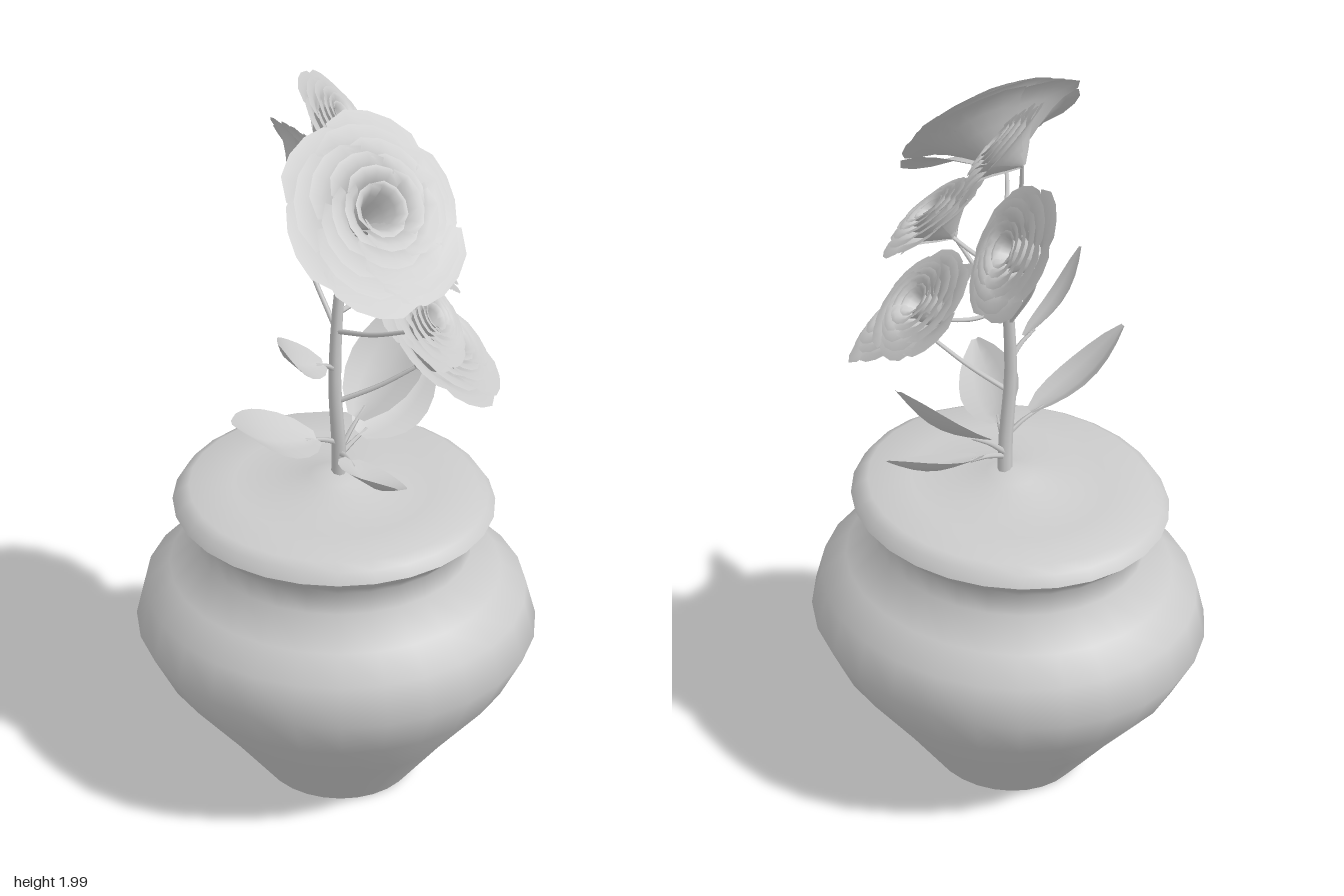
import * as THREE from 'three';
import { toCreasedNormals } from 'three/addons/utils/BufferGeometryUtils.js';

const V = (x, y, z) => new THREE.Vector3(x, y, z);
const mat = new THREE.MeshStandardMaterial({ color: 0xcccccc });
const thin = new THREE.MeshStandardMaterial({ color: 0xcccccc, side: THREE.DoubleSide });

function part(name, geometry, material = mat) {
  const mesh = new THREE.Mesh(geometry, material);
  mesh.name = name;
  return mesh;
}

// Grid surface from a rule: s runs -1..1 across, t runs 0..1 along
function surface(rule, across, along) {
  const geo = new THREE.PlaneGeometry(2, 1, across, along);
  const pos = geo.attributes.position;
  for (let i = 0; i < pos.count; i++) {
    const p = rule(pos.getX(i), pos.getY(i) + 0.5);
    pos.setXYZ(i, p.x, p.y, p.z);
  }
  geo.computeVertexNormals();
  return geo;
}

// Tapered round stalk along a curve
function stalk(points, r0, r1, sides = 6) {
  const curve = new THREE.CatmullRomCurve3(points);
  const segs = 12;
  const geo = new THREE.TubeGeometry(curve, segs, 1, sides);
  const pos = geo.attributes.position;
  for (let i = 0; i < pos.count; i++) {
    const t = Math.floor(i / (sides + 1)) / segs;
    const c = curve.getPointAt(t);
    const p = V().fromBufferAttribute(pos, i).sub(c).multiplyScalar(r0 + (r1 - r0) * t).add(c);
    pos.setXYZ(i, p.x, p.y, p.z);
  }
  return geo;
}

// Cupped petal of a rose of unit radius that opens along +y
function petalGeometry(radius, rim, spread) {
  const base = -0.45;
  return surface((s, t) => {
    const v = t * (1 - 0.13 * s ** 4);
    const r = radius * (0.05 + 0.95 * v ** 0.85) * (1 + 0.05 * s);
    const a = s * spread;
    const y = base + (rim - base) * Math.sin(v * 1.75) / Math.sin(1.75);
    return V(Math.sin(a) * r, y, Math.cos(a) * r);
  }, 5, 5);
}

// Rings of petals: [radius, rim height, petal count]
const RINGS = [
  [1.0, 0.0, 6], [0.87, 0.08, 5], [0.73, 0.14, 5], [0.58, 0.18, 5], [0.43, 0.2, 4], [0.28, 0.17, 3],
].map(([r, h, n]) => ({ n, geo: petalGeometry(r, h, Math.PI / n * 1.2) }));

function rose(center, normal, radius, turn) {
  const group = new THREE.Group();
  group.name = 'rose';
  RINGS.forEach(({ n, geo }, ring) => {
    for (let i = 0; i < n; i++) {
      const petal = part('petal', geo, thin);
      petal.rotation.y = (i / n) * Math.PI * 2 + ring * 0.9 + turn;
      petal.scale.setScalar(1 + 0.04 * Math.sin(i * 2.4 + ring * 1.7 + turn));
      group.add(petal);
    }
  });
  group.position.copy(center);
  group.quaternion.setFromUnitVectors(V(0, 1, 0), normal);
  group.scale.setScalar(radius);
  return group;
}

// Leaf blade between two points, folded a little along its midrib
function leaf(from, to, up, width) {
  const axis = to.clone().sub(from);
  const side = axis.clone().cross(up).normalize();
  const normal = side.clone().cross(axis).normalize();
  const start = 0.22;
  const group = new THREE.Group();
  group.name = 'leaf';
  group.add(part('leafBlade', surface((s, t) => {
    const w = width * 0.5 * Math.min(1, Math.sin(Math.PI * (0.05 + 0.93 * t ** 0.9)) ** 0.75);
    const lift = 0.3 * Math.abs(s) * w - 0.03 * Math.sin(Math.PI * t);
    return from.clone().addScaledVector(axis, start + (1 - start) * t)
      .addScaledVector(side, s * w).addScaledVector(normal, lift);
  }, 4, 7), thin));
  group.add(part('leafStalk', stalk([from, from.clone().lerp(to, 0.15), from.clone().lerp(to, 0.3)
    .addScaledVector(normal, -0.01)], 0.008, 0.004, 5)));
  return group;
}

export function createModel() {
  const model = new THREE.Group();
  model.name = 'pottedRose';

  // Pot with its mound of soil, slightly oval
  const profile = [
    [0, 0], [0.2, 0], [0.325, 0.18], [0.455, 0.355], [0.512, 0.48], [0.485, 0.585], [0.42, 0.645],
    [0.345, 0.715], [0.34, 0.775], [0.365, 0.805], [0.403, 0.842], [0.385, 0.87], [0.36, 0.885],
    [0.25, 0.887], [0.14, 0.893], [0.06, 0.915], [0, 0.932],
  ].map(([r, y]) => new THREE.Vector2(r, y));
  const pot = part('pot', toCreasedNormals(new THREE.LatheGeometry(profile, 28), 0.95));
  pot.scale.set(1.01, 1, 0.9);
  pot.rotation.y = -0.35;
  const potTilt = new THREE.Group();
  potTilt.name = 'potAndSoil';
  potTilt.rotation.z = 0.014;
  potTilt.position.y = 0.003;
  potTilt.add(pot);
  model.add(potTilt);

  // Main stem
  const stemPoints = [V(0, 0.9, 0), V(0, 1.0, 0.01), V(-0.012, 1.2, 0.025), V(-0.005, 1.4, 0.02),
    V(0.01, 1.55, 0.01), V(0.01, 1.66, 0.02)];
  model.add(part('stem', stalk(stemPoints, 0.019, 0.011, 8)));
  const stemCurve = new THREE.CatmullRomCurve3(stemPoints);

  // Roses: centre, facing direction, radius, position of the branch along the stem
  [
    [V(0.05, 1.78, 0.225), V(0.4, 0.65, 0.62), 0.24, 0.95],
    [V(0, 1.88, -0.05), V(0.75, 0.6, 0.2), 0.135, 0.98],
    [V(-0.03, 1.68, -0.18), V(0.75, 0.5, -0.3), 0.165, 0.55],
    [V(0.17, 1.63, 0.05), V(0.6, 0.75, 0.15), 0.15, 0.75],
    [V(0.18, 1.5, 0.24), V(0.7, 0.65, 0.3), 0.13, 0.55],
    [V(0.19, 1.48, -0.11), V(0.65, 0.7, -0.2), 0.155, 0.6],
    [V(0.235, 1.33, 0.08), V(0.62, 0.78, 0.13), 0.185, 0.35],
  ].forEach(([center, facing, radius, at], i) => {
    const n = facing.normalize();
    model.add(rose(center, n, radius, i * 1.3));
    const base = center.clone().addScaledVector(n, -0.43 * radius);
    const root = stemCurve.getPoint(at);
    const bend = root.clone().lerp(base, 0.6).addScaledVector(n, -0.02);
    model.add(part('branch', stalk([root, bend, base], 0.007, 0.005, 5)));
  });

  // Leaves: root, tip, upward direction, width
  [
    [V(0, 1.02, 0.01), V(-0.28, 1.23, 0.21), V(0.6, 0.8, 0), 0.17],
    [V(-0.01, 1.24, 0.02), V(-0.17, 1.45, 0.22), V(0.75, 0.66, 0), 0.12],
    [V(0, 0.99, 0.01), V(0.1, 1.09, 0.33), V(0.35, 0.9, -0.3), 0.16],
    [V(0, 0.98, 0), V(0.24, 1.3, -0.21), V(-0.25, 0.7, 0.4), 0.2],
    [V(0, 0.97, 0), V(0.27, 1.1, -0.22), V(0.3, 0.85, 0.2), 0.18],
  ].forEach((args) => model.add(leaf(...args)));

  return model;
}
